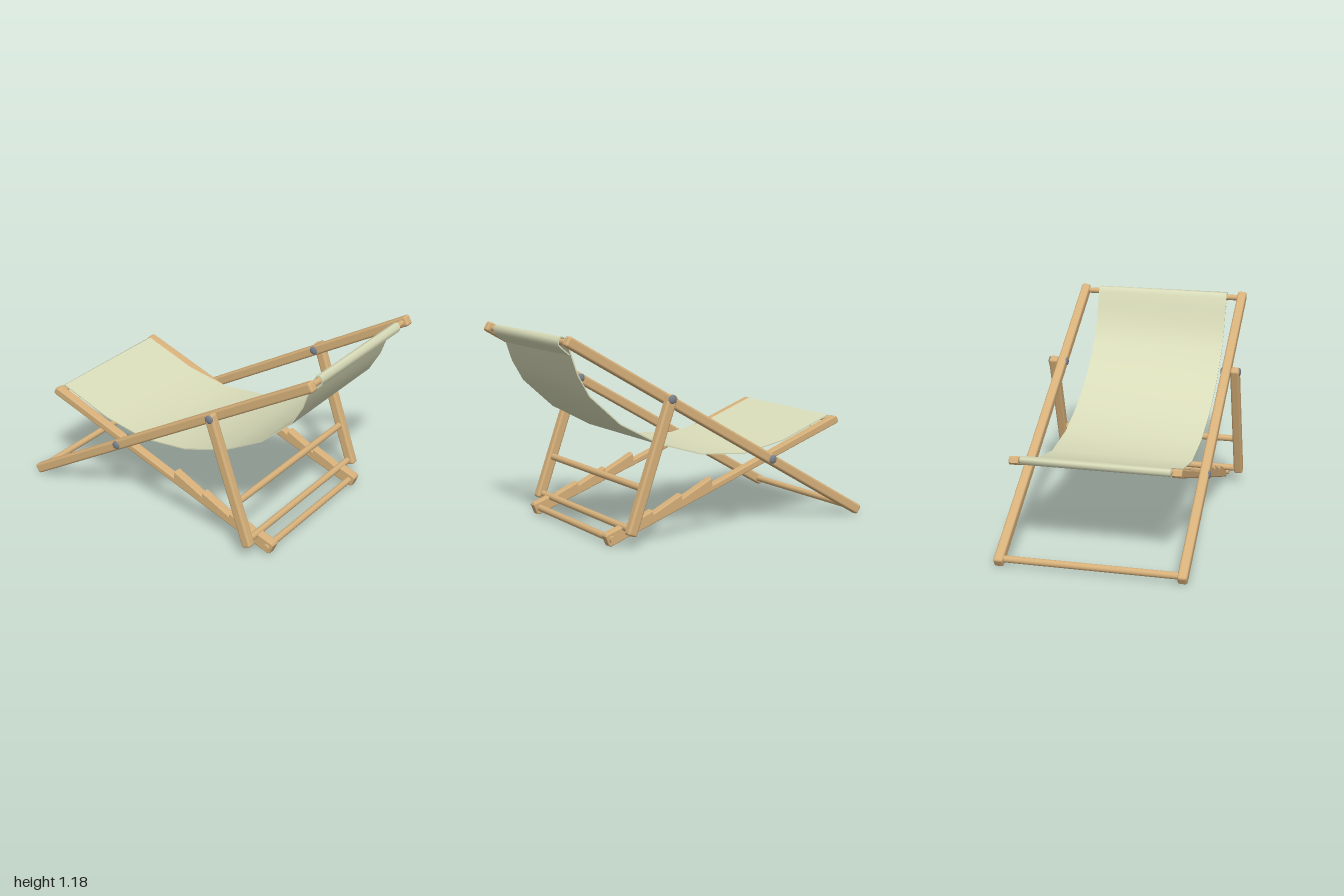
import * as THREE from 'three';
import { RoundedBoxGeometry } from 'three/addons/geometries/RoundedBoxGeometry.js';

const wood = new THREE.MeshStandardMaterial({ color: 0xd6b07a });
wood.name = 'wood';
const canvas = new THREE.MeshStandardMaterial({ color: 0xd9dcb9, side: THREE.DoubleSide });
canvas.name = 'canvas';
const steel = new THREE.MeshStandardMaterial({ color: 0x7c838d });
steel.name = 'steel';

function add(group, name, geometry, material, x = 0, y = 0, z = 0) {
  const mesh = new THREE.Mesh(geometry, material);
  mesh.name = name;
  mesh.position.set(x, y, z);
  group.add(mesh);
  return mesh;
}

// Straight wooden rail with softened edges, tilted in the side plane
function rail(group, name, length, angle, x, y, z) {
  const geometry = new RoundedBoxGeometry(length, 0.06, 0.056, 4, 0.014);
  add(group, name, geometry, wood, x, y, z).rotation.z = angle;
}

// Round bar running across the chair
function bar(group, name, x, y, halfWidth, radius) {
  const geometry = new THREE.CylinderGeometry(radius, radius, halfWidth * 2, 20);
  add(group, name, geometry, wood, x, y).rotation.x = Math.PI / 2;
}

// Flattened dome bolt head
function bolt(group, name, x, y, z) {
  add(group, name, new THREE.SphereGeometry(0.026, 18, 12), steel, x, y, z).scale.z = 0.4;
}

// Seat rail with saw-tooth notches along the rear of its upper edge
function notchedRailGeometry() {
  const bevel = 0.007;
  const points = [
    [-0.862, 0.588], [-0.852, 0.574], [0.7, 0.012], [0.718, 0.014], [0.741, 0.07],
    [0.735, 0.082], [0.64, 0.115], [0.6, 0.11], [0.57, 0.13], [0.44, 0.185],
    [0.435, 0.165], [0.25, 0.257], [0.245, 0.232], [0.05, 0.33], [0.042, 0.288],
    [-0.835, 0.619], [-0.85, 0.614],
  ];
  const shape = new THREE.Shape(points.map(([x, y]) => new THREE.Vector2(x, y)));
  const geometry = new THREE.ExtrudeGeometry(shape, {
    depth: 0.056 - 2 * bevel, bevelEnabled: true, bevelThickness: bevel,
    bevelSize: bevel, bevelOffset: -bevel, bevelSegments: 2,
  });
  return geometry.translate(0, 0, bevel - 0.028);
}

// Smooth strip joining two rows of points
function strip(rowA, rowB) {
  const n = rowA.length;
  const index = [];
  for (let i = 0; i < n - 1; i++) index.push(i, n + i, i + 1, i + 1, n + i, n + i + 1);
  const geometry = new THREE.BufferGeometry().setFromPoints([...rowA, ...rowB]);
  geometry.setIndex(index);
  geometry.computeVertexNormals();
  return geometry;
}

// Sling: a thin sheet following the side profile, wrapped round both end bars
function buildSling() {
  const sling = new THREE.Group();
  sling.name = 'canvasSling';
  const half = 0.425, thick = 0.007;
  const path = [
    [-0.74, 0.55], [-0.832, 0.574], [-0.846, 0.59], [-0.844, 0.608], [-0.825, 0.617],
    [-0.5, 0.493], [-0.22, 0.438], [0.08, 0.463], [0.36, 0.547], [0.61, 0.68],
    [0.8, 0.85], [0.87, 0.97], [0.908, 1.08], [0.935, 1.155], [0.95, 1.18],
    [0.968, 1.184], [0.984, 1.165], [0.983, 1.14], [0.965, 1.122], [0.918, 1.083],
  ].map(([x, y]) => new THREE.Vector2(x, y));
  const row = (side, z) => path.map((p, i) => {
    const a = path[Math.max(i - 1, 0)], b = path[Math.min(i + 1, path.length - 1)];
    const t = b.clone().sub(a).normalize();
    return new THREE.Vector3(p.x - t.y * side * thick / 2, p.y + t.x * side * thick / 2, z);
  });
  const topLeft = row(1, -half), topRight = row(1, half);
  const lowLeft = row(-1, -half), lowRight = row(-1, half);
  add(sling, 'slingTop', strip(topLeft, topRight), canvas);
  add(sling, 'slingUnderside', strip(lowRight, lowLeft), canvas);
  add(sling, 'slingEdge', strip(topRight, lowRight), canvas);
  add(sling, 'slingEdge', strip(lowLeft, topLeft), canvas);
  // Cut ends of the hems
  for (const i of [0, path.length - 1]) {
    add(sling, 'slingHem', strip([topLeft[i], topRight[i]], [lowLeft[i], lowRight[i]]), canvas);
  }
  return sling;
}

export function createModel() {
  const model = new THREE.Group();
  model.name = 'deckChair';

  // Paired side members and their bolts
  const notched = notchedRailGeometry();
  for (const s of [-1, 1]) {
    rail(model, 'backRail', 2.286, Math.PI / 6, 0, 0.602, s * 0.522);
    rail(model, 'supportLeg', 0.81, Math.atan2(-0.74, 0.26), 0.502, 0.465, s * 0.578);
    add(model, 'notchedSeatRail', notched, wood, 0, 0, s * 0.461);
    bolt(model, 'pivotBoltOuter', -0.335, 0.412, s * 0.549);
    bolt(model, 'pivotBoltInner', -0.335, 0.412, s * 0.434);
    bolt(model, 'legBoltOuter', 0.38, 0.825, s * 0.603);
    bolt(model, 'legBoltInner', 0.38, 0.825, s * 0.496);
  }

  // Cross bars
  bar(model, 'topBar', 0.96, 1.156, 0.5, 0.018);
  bar(model, 'footBar', -0.96, 0.05, 0.5, 0.02);
  bar(model, 'seatFrontBar', -0.825, 0.595, 0.45, 0.017);
  bar(model, 'seatRearBar', 0.7, 0.052, 0.505, 0.02);
  bar(model, 'legLowerBar', 0.62, 0.11, 0.555, 0.02);
  bar(model, 'legUpperBar', 0.548, 0.335, 0.555, 0.02);

  model.add(buildSling());
  return model;
}
